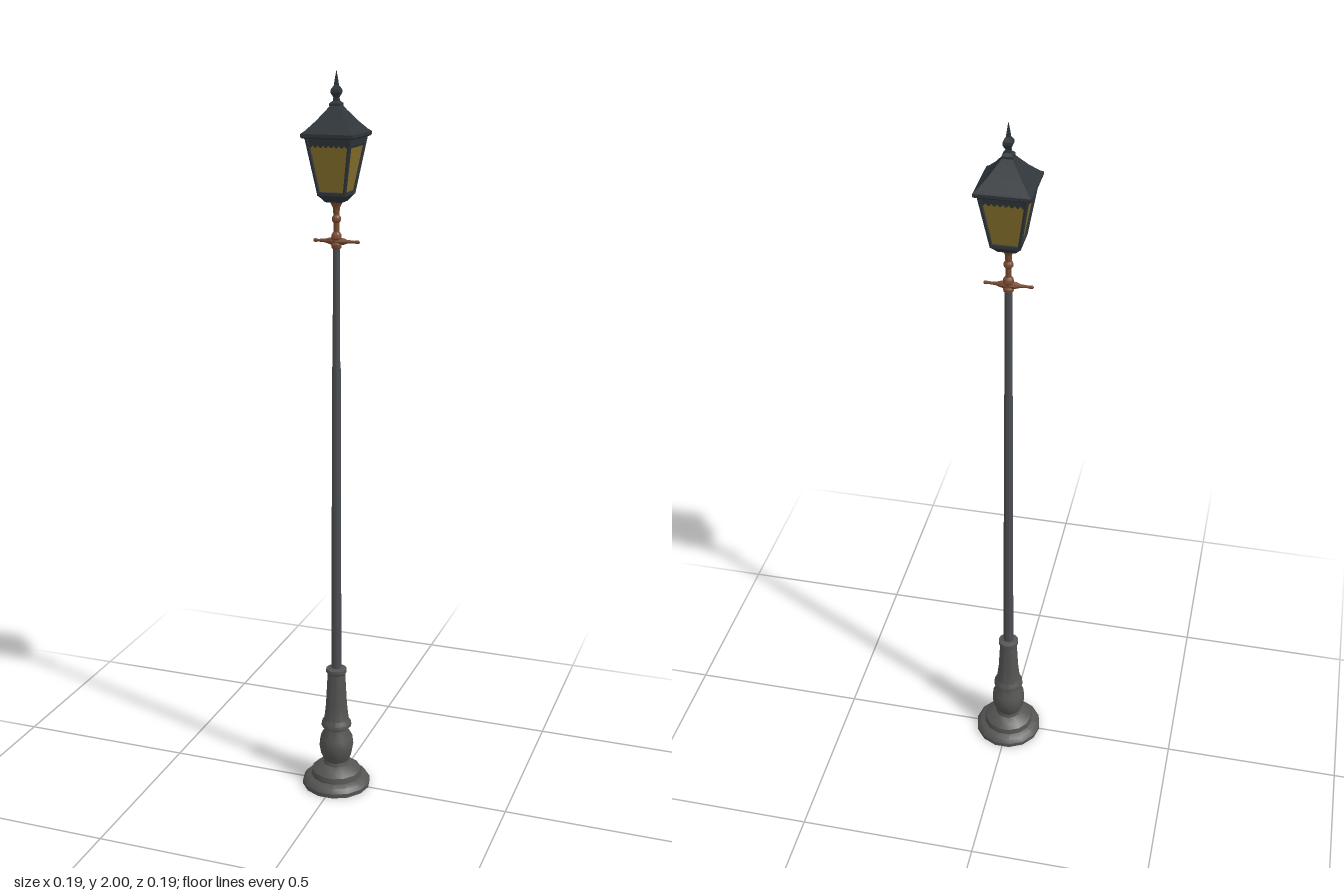
import * as THREE from 'three';
import { toCreasedNormals } from 'three/addons/utils/BufferGeometryUtils.js';

export function createModel() {
  const model = new THREE.Group();
  model.name = 'streetLamp';

  const mat = (name, color) => {
    const m = new THREE.MeshStandardMaterial({ color });
    m.name = name;
    return m;
  };
  const iron = mat('grey iron', 0x545453);
  const pole = mat('pole iron', 0x4b4e51);
  const dark = mat('dark slate', 0x30363b);
  const copper = mat('copper', 0x7a4b33);
  const glass = mat('amber glass', 0x86702c);

  const add = (parent, name, geometry, material) => {
    const mesh = new THREE.Mesh(geometry, material);
    mesh.name = name;
    parent.add(mesh);
    return mesh;
  };
  // Turned part: profile of [radius, y] from bottom to top
  const turned = (profile, sides, start = Math.PI / 2, crease = 0.6) =>
    toCreasedNormals(new THREE.LatheGeometry(
      profile.map(([r, y]) => new THREE.Vector2(r, y)), sides, start), crease);
  // Square part: profile of [half width, y] from bottom to top
  const square = (profile) =>
    turned(profile.map(([r, y]) => [r * Math.SQRT2, y]), 4, Math.PI / 4, 0.3);

  // Stepped foot, bulb and flared sleeve
  add(model, 'base', turned([
    [0, 0], [0.097, 0], [0.097, 0.012], [0.088, 0.024], [0.073, 0.03],
    [0.07, 0.046], [0.055, 0.058], [0.038, 0.066], [0.035, 0.076],
    [0.044, 0.095], [0.049, 0.122], [0.046, 0.148], [0.035, 0.168],
    [0.034, 0.178], [0.043, 0.184], [0.042, 0.194], [0.035, 0.205],
    [0.03, 0.25], [0.025, 0.345], [0.029, 0.35], [0.029, 0.36], [0.013, 0.364],
  ], 14), iron);

  // Slender tapering pole
  add(model, 'pole', turned([
    [0.0145, 0.355], [0.0135, 0.8], [0.012, 1.23], [0.0105, 1.25], [0.0095, 1.56],
  ], 10), pole);

  // Copper neck with collars, opening into the lantern cup
  add(model, 'neck', turned([
    [0.009, 1.55], [0.013, 1.553], [0.014, 1.562], [0.011, 1.566], [0.011, 1.574],
    [0.014, 1.578], [0.013, 1.588], [0.008, 1.594], [0.008, 1.618], [0.012, 1.623],
    [0.012, 1.631], [0.008, 1.637], [0.009, 1.655], [0.015, 1.668], [0.022, 1.68], [0, 1.682],
  ], 12), copper);

  // Ladder rest, a turned crossbar with knobbed ends
  const bar = add(model, 'ladderRest', turned([
    [0, -0.064], [0.004, -0.062], [0.005, -0.057], [0.0035, -0.05], [0.005, -0.03],
    [0.009, -0.018], [0.011, 0], [0.009, 0.018], [0.005, 0.03], [0.0035, 0.05],
    [0.005, 0.057], [0.004, 0.062], [0, 0.064],
  ], 8), copper);
  bar.rotation.z = Math.PI / 2;
  bar.position.y = 1.57;

  // Lantern, slightly deeper than wide
  const lantern = new THREE.Group();
  lantern.name = 'lantern';
  lantern.scale.z = 1.07;
  model.add(lantern);

  const Y0 = 1.695, Y1 = 1.83, W0 = 0.035, W1 = 0.058;
  add(lantern, 'glassPanes', square([[W0 - 0.002, Y0], [W1 - 0.002, Y1]]), glass);
  add(lantern, 'lanternCup', square([
    [0, 1.672], [0.022, 1.672], [0.034, 1.687], [0.038, 1.69], [0.038, 1.698], [0.03, 1.7],
  ]), dark);
  add(lantern, 'roof', square([
    [0, 1.834], [0.066, 1.834], [0.07, 1.838], [0.07, 1.846], [0.062, 1.852],
    [0.04, 1.876], [0.02, 1.902], [0.011, 1.914],
  ]), dark);
  add(lantern, 'finial', square([
    [0.014, 1.912], [0.014, 1.918], [0.007, 1.924], [0.006, 1.932], [0.012, 1.945],
    [0.011, 1.952], [0.005, 1.962], [0.004, 1.972], [0, 2],
  ]), dark);

  // Scalloped fringe outline, hanging from y = 0
  const teeth = 8, half = 0.056, step = (2 * half) / teeth;
  const fringe = new THREE.Shape();
  fringe.moveTo(half, 0);
  fringe.lineTo(-half, 0);
  fringe.lineTo(-half + 0.003, -0.016);
  for (let i = 0; i < teeth; i++) {
    const x = -half + i * step;
    fringe.quadraticCurveTo(x + step / 2, -0.031, Math.min(x + step, half - 0.003), -0.016);
  }
  const fringeGeo = new THREE.ExtrudeGeometry(fringe,
    { depth: 0.003, bevelEnabled: false, curveSegments: 3 });
  const lean = Math.atan2(W1 - W0, Y1 - Y0);

  // Corner posts and fringe on each of the four sides
  for (let i = 0; i < 4; i++) {
    const side = new THREE.Group();
    side.name = 'lanternSide' + (i + 1);
    side.rotation.y = (i * Math.PI) / 2;
    lantern.add(side);

    const low = new THREE.Vector3(W0, Y0, W0), high = new THREE.Vector3(W1, Y1 + 0.005, W1);
    const dir = high.clone().sub(low);
    const post = add(side, 'cornerPost',
      toCreasedNormals(new THREE.CylinderGeometry(0.0055, 0.0045, dir.length(), 6), 0.3), dark);
    post.position.copy(low).add(high).multiplyScalar(0.5);
    post.quaternion.setFromUnitVectors(new THREE.Vector3(0, 1, 0), dir.normalize());

    const trim = add(side, 'fringe', fringeGeo, dark);
    trim.position.set(0, Y1 + 0.005, W1);
    trim.rotation.x = lean;
  }
  return model;
}
